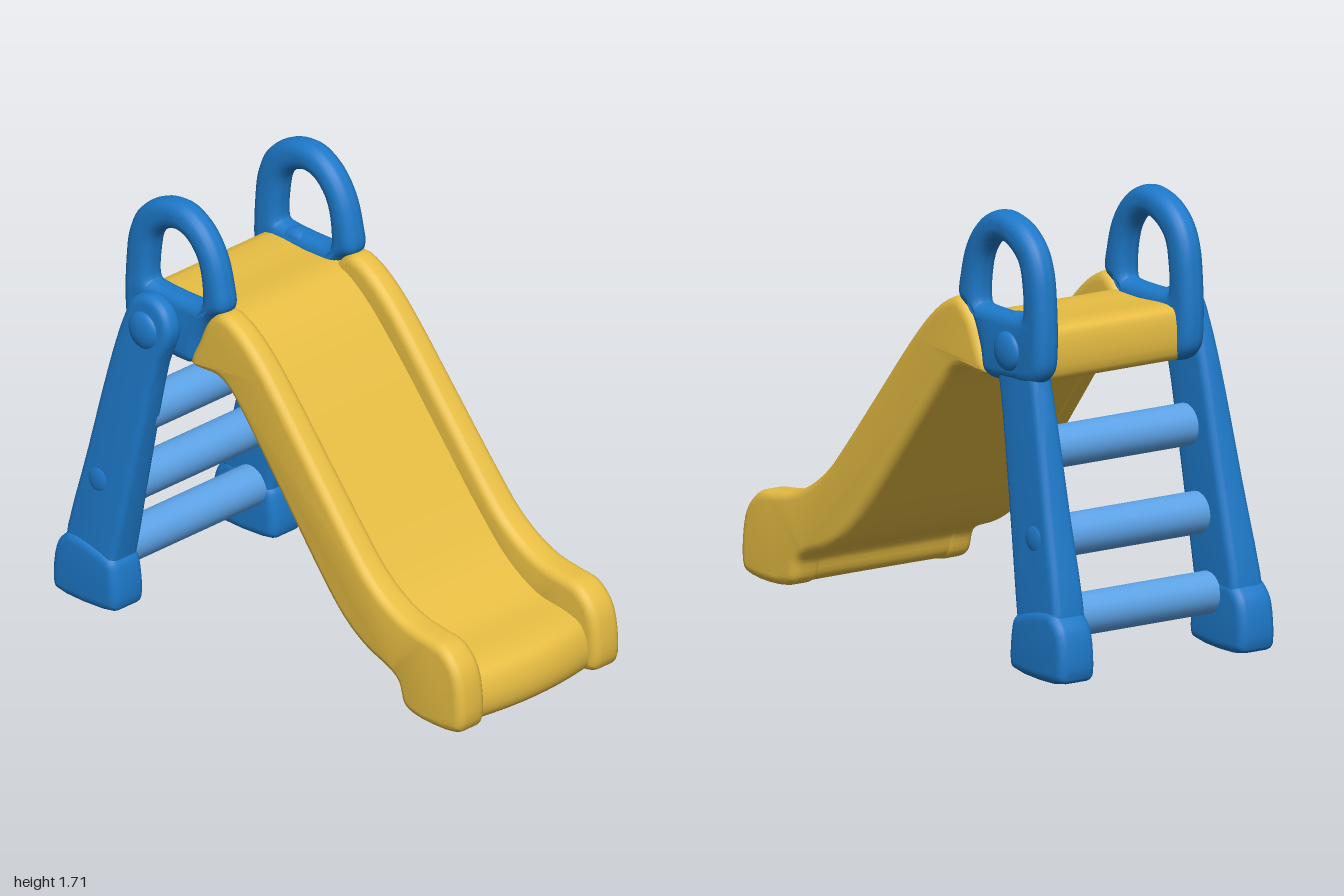
import * as THREE from 'three';
import { toCreasedNormals } from 'three/addons/utils/BufferGeometryUtils.js';

const material = (name, color) => {
  const m = new THREE.MeshStandardMaterial({ color });
  m.name = name;
  return m;
};

// Smooth closed outline through [z, y] points
function outline(points, Type = THREE.Shape) {
  const curve = new THREE.CatmullRomCurve3(points.map(([z, y]) => new THREE.Vector3(z, y, 0)), true, 'centripetal');
  const pts = curve.getPoints(points.length * 4).slice(0, -1);
  return new Type(pts.map((p) => new THREE.Vector2(p.x, p.y)));
}

// Side profile given width along x, with rounded edges; rule(v) may move vertices
function sideSolid(shape, width, bevel, rule, steps = 1) {
  const geo = new THREE.ExtrudeGeometry(shape, {
    depth: width - 2 * bevel, steps, bevelEnabled: bevel > 0,
    bevelThickness: bevel, bevelSize: bevel, bevelOffset: -bevel, bevelSegments: 4,
  });
  geo.translate(0, 0, bevel - width / 2);
  geo.rotateY(-Math.PI / 2);
  if (rule) {
    const pos = geo.attributes.position;
    const v = new THREE.Vector3();
    for (let i = 0; i < pos.count; i++) {
      rule(v.fromBufferAttribute(pos, i));
      pos.setXYZ(i, v.x, v.y, v.z);
    }
  }
  geo.deleteAttribute('uv');
  return toCreasedNormals(geo, 0.65);
}

export function createModel() {
  const model = new THREE.Group();
  model.name = 'toddlerSlide';
  const yellow = material('slide yellow', 0xeac044);
  const blue = material('frame blue', 0x1d79c9);
  const lightBlue = material('rung light blue', 0x60a8ee);

  const add = (name, geo, mat, x = 0, y = 0, z = 0) => {
    const mesh = new THREE.Mesh(geo, mat);
    mesh.name = name;
    mesh.position.set(x, y, z);
    model.add(mesh);
    return mesh;
  };

  // Side profiles
  const railShape = outline([
    [1, 0.22], [0.97, 0.32], [0.9, 0.385], [0.8, 0.402], [0.7, 0.42], [0.6, 0.465], [0.5, 0.54], [0.4, 0.65],
    [0.2, 0.89], [0, 1.13], [-0.1, 1.235], [-0.2, 1.31], [-0.28, 1.335], [-0.35, 1.28], [-0.4, 1.18], [-0.44, 1.075],
    [-0.3, 1.07], [-0.25, 1.05], [-0.18, 0.98], [0, 0.76], [0.3, 0.39], [0.4, 0.295], [0.5, 0.235],
    [0.62, 0.19], [0.66, 0.16], [0.69, 0.08], [0.75, 0.052], [0.95, 0.055], [0.995, 0.08],
  ]);
  const bedShape = outline([
    [-0.73, 1.25], [-0.71, 1.28], [-0.5, 1.28], [-0.32, 1.275], [-0.2, 1.205], [0, 1.0], [0.2, 0.765], [0.4, 0.53],
    [0.55, 0.38], [0.7, 0.295], [0.85, 0.27], [0.92, 0.24], [0.955, 0.16], [0.95, 0.09], [0.92, 0.06],
    [0.76, 0.055], [0.693, 0.085], [0.663, 0.16], [0.62, 0.193], [0.5, 0.238], [0.4, 0.298], [0.3, 0.393],
    [0, 0.763], [-0.18, 0.982], [-0.25, 1.053], [-0.3, 1.073], [-0.7, 1.08], [-0.73, 1.11],
  ]);
  const handleShape = outline([
    [-0.27, 1.34], [-0.28, 1.44], [-0.315, 1.55], [-0.38, 1.64], [-0.47, 1.695], [-0.55, 1.702], [-0.65, 1.67],
    [-0.73, 1.6], [-0.77, 1.51], [-0.785, 1.4], [-0.79, 1.22], [-0.775, 1.13], [-0.72, 1.08], [-0.6, 1.07],
    [-0.43, 1.075], [-0.4, 1.17], [-0.35, 1.28],
  ]);
  handleShape.holes.push(outline([
    [-0.392, 1.335], [-0.4, 1.33], [-0.65, 1.33], [-0.658, 1.335], [-0.655, 1.44], [-0.63, 1.53], [-0.55, 1.585],
    [-0.48, 1.58], [-0.42, 1.52], [-0.393, 1.43],
  ], THREE.Path));
  const legShape = outline([
    [-0.465, 1.21], [-0.5, 1.295], [-0.58, 1.33], [-0.665, 1.295], [-0.705, 1.21], [-0.755, 1.05], [-0.855, 0.63],
    [-0.95, 0.2], [-0.93, 0.1], [-0.72, 0.1], [-0.695, 0.2], [-0.61, 0.63], [-0.52, 1.05],
  ]);
  const footShape = outline([
    [-0.668, 0.03], [-0.675, 0.17], [-0.69, 0.21], [-0.72, 0.23], [-0.91, 0.265], [-0.95, 0.24], [-0.985, 0.19],
    [-0.998, 0.03], [-0.98, 0.005], [-0.69, 0.01],
  ]);

  // Sliding bed with a bulging front lip; its edges run inside the rails so the underside is flush
  const bedWidth = 0.67;
  add('slideBed', sideSolid(bedShape, bedWidth, 0, (v) => {
    const u = v.x / (bedWidth / 2);
    v.z += 0.04 * (1 - u * u) * THREE.MathUtils.smoothstep(v.z, 0.7, 0.93);
  }, 10), yellow, 0.05);

  for (const side of [-1, 1]) {
    const label = side > 0 ? 'left' : 'right';
    const railX = 0.05 + side * 0.337;

    // Side rail, wider on its outer face towards the bottom
    add(label + 'Rail', sideSolid(railShape, 0.105, 0.035, (v) => {
      if (v.x * side > 0) v.x += side * 0.024 * (v.z + 0.4);
    }), yellow, railX);

    // Arched grab handle with its lower panel
    add(label + 'Handle', sideSolid(handleShape, 0.106, 0.045), blue, railX);

    // Ladder leg, tapering upwards on its outer face, and its foot
    add(label + 'Leg', sideSolid(legShape, 0.148, 0.03, (v) => {
      if (v.x * side > 0) v.x -= side * 0.06 * (v.y - 0.2);
    }), blue, side * 0.412);
    add(label + 'Foot', sideSolid(footShape, 0.163, 0.035), blue, side * 0.416);

    // Domed caps on the outer face
    const dome = (name, x, y, z, r) => add(name, new THREE.SphereGeometry(r, 20, 12), blue, side * x, y, z).scale.set(0.4, 1, 1);
    dome(label + 'LowerCap', 0.452, 0.515, -0.785, 0.06);
    dome(label + 'UpperCap', side > 0 ? 0.438 : 0.42, 1.19, -0.59, 0.075);
  }

  // Ladder rungs
  for (const y of [0.205, 0.495, 0.815]) {
    const rung = add('rung', new THREE.CylinderGeometry(0.08, 0.08, 0.74, 24), lightBlue, 0, y, -0.833 + 0.222 * y);
    rung.rotation.z = Math.PI / 2;
  }
  return model;
}
